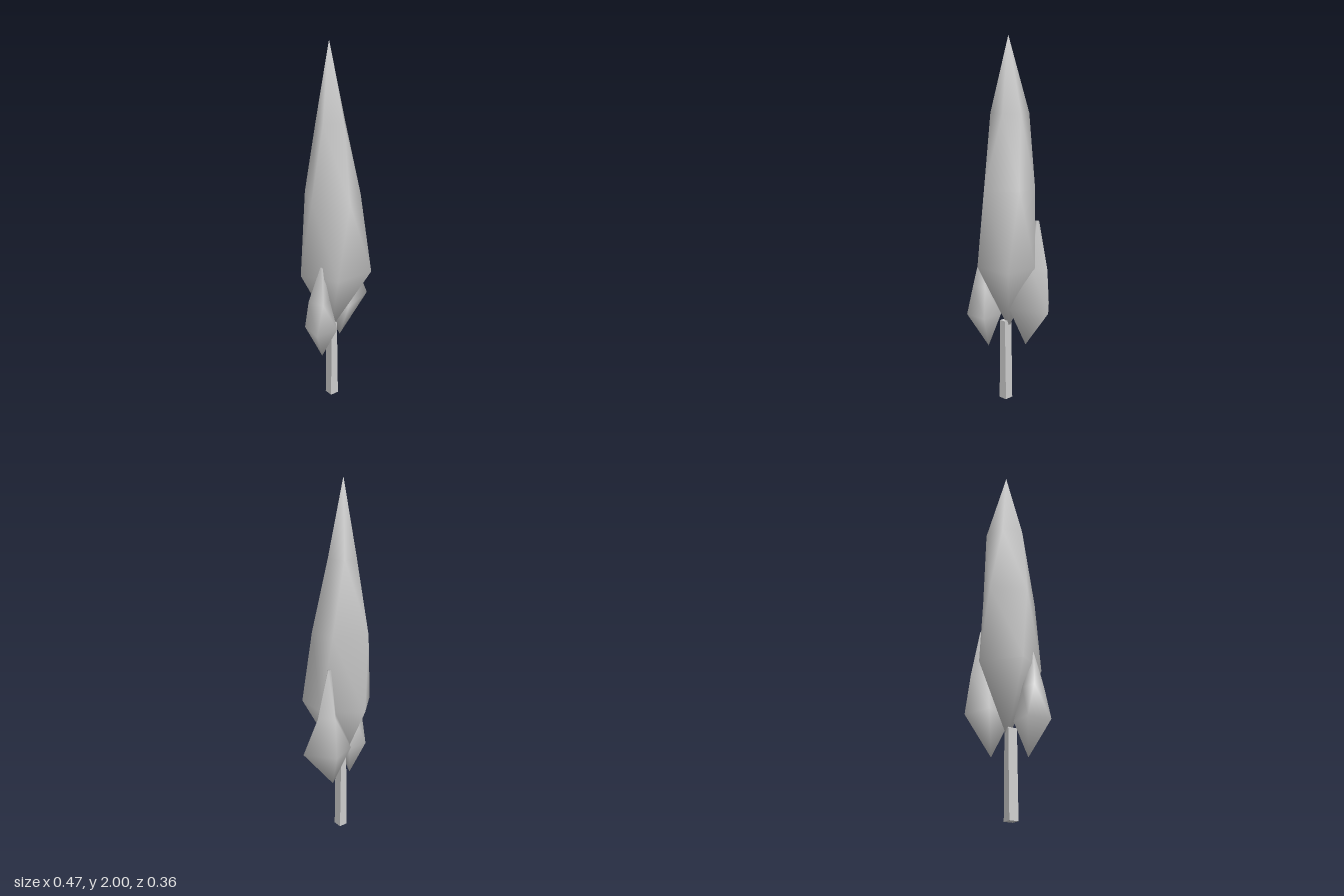
import * as THREE from 'three';

// Skin through irregular rings [y, [x, z], ...], listed bottom to top, clockwise from above.
// A ring with a single point becomes a pointed end.
function loft(rings, sides) {
  const pos = [], idx = [];
  const starts = rings.map(([y, ...pts]) => {
    const start = pos.length / 3;
    pts.forEach(([x, z]) => pos.push(x, y, z));
    return { start, n: pts.length };
  });
  const at = (r, i) => starts[r].start + (i % starts[r].n);
  for (let r = 0; r < rings.length - 1; r++) {
    for (let i = 0; i < sides; i++) {
      const a = at(r, i), b = at(r, i + 1), c = at(r + 1, i), d = at(r + 1, i + 1);
      if (c !== d) idx.push(a, c, d);
      if (a !== b) idx.push(a, d, b);
    }
  }
  const geo = new THREE.BufferGeometry();
  geo.setAttribute('position', new THREE.Float32BufferAttribute(pos, 3));
  geo.setIndex(idx);
  geo.computeVertexNormals();
  return geo;
}

export function createModel() {
  const group = new THREE.Group();
  const grey = new THREE.MeshStandardMaterial({ color: 0xcccccc, side: THREE.DoubleSide });
  grey.name = 'pale grey';
  const add = (name, geo) => {
    const mesh = new THREE.Mesh(geo, grey);
    mesh.name = name;
    group.add(mesh);
  };

  // Tall five-sided crown, slightly twisted
  add('mainCrown', loft([
    [0.41, [-0.04, 0]],
    [0.78, [-0.228, -0.02], [-0.06, -0.181], [0.125, -0.03], [0.11, 0.163], [-0.117, 0.165]],
    [1.2, [-0.19, 0.035], [-0.105, -0.147], [0.08, -0.08], [0.105, 0.07], [-0.05, 0.178]],
    [1.6, [-0.125, 0.05], [-0.09, -0.06], [0.018, -0.1], [0.05, 0], [-0.013, 0.075]],
    [2, [-0.045, -0.005]],
  ], 5));

  // Larger side cluster with a tiny blunt tip
  add('leftFoliage', loft([
    [0.325, [0.05, -0.04]],
    [0.55, [0.232, -0.017], [0.03, 0.07], [-0.03, -0.1], [0.115, -0.162]],
    [0.77, [0.175, -0.075], [0.11, -0.02], [0.045, -0.06], [0.105, -0.135]],
    [1.03, [0.11, -0.08], [0.105, -0.07], [0.085, -0.07], [0.095, -0.085]],
  ], 4));

  // Smaller side cluster
  add('rightFoliage', loft([
    [0.295, [-0.145, 0.055]],
    [0.48, [-0.235, 0.135], [-0.222, 0.003], [-0.1, 0], [-0.1, 0.135]],
    [0.65, [-0.19, 0.13], [-0.225, 0.045], [-0.15, 0.02], [-0.125, 0.1]],
    [0.85, [-0.165, 0.09], [-0.17, 0.08], [-0.16, 0.075], [-0.157, 0.085]],
  ], 4));

  // Thin square trunk, tapering upward
  const trunk = new THREE.BoxGeometry(0.05, 0.46, 0.052);
  const p = trunk.attributes.position;
  for (let i = 0; i < p.count; i++) {
    if (p.getY(i) > 0) p.setX(i, p.getX(i) * 0.72);
  }
  trunk.computeVertexNormals();
  trunk.translate(-0.049, 0.23, 0.015);
  add('trunk', trunk);

  return group;
}
